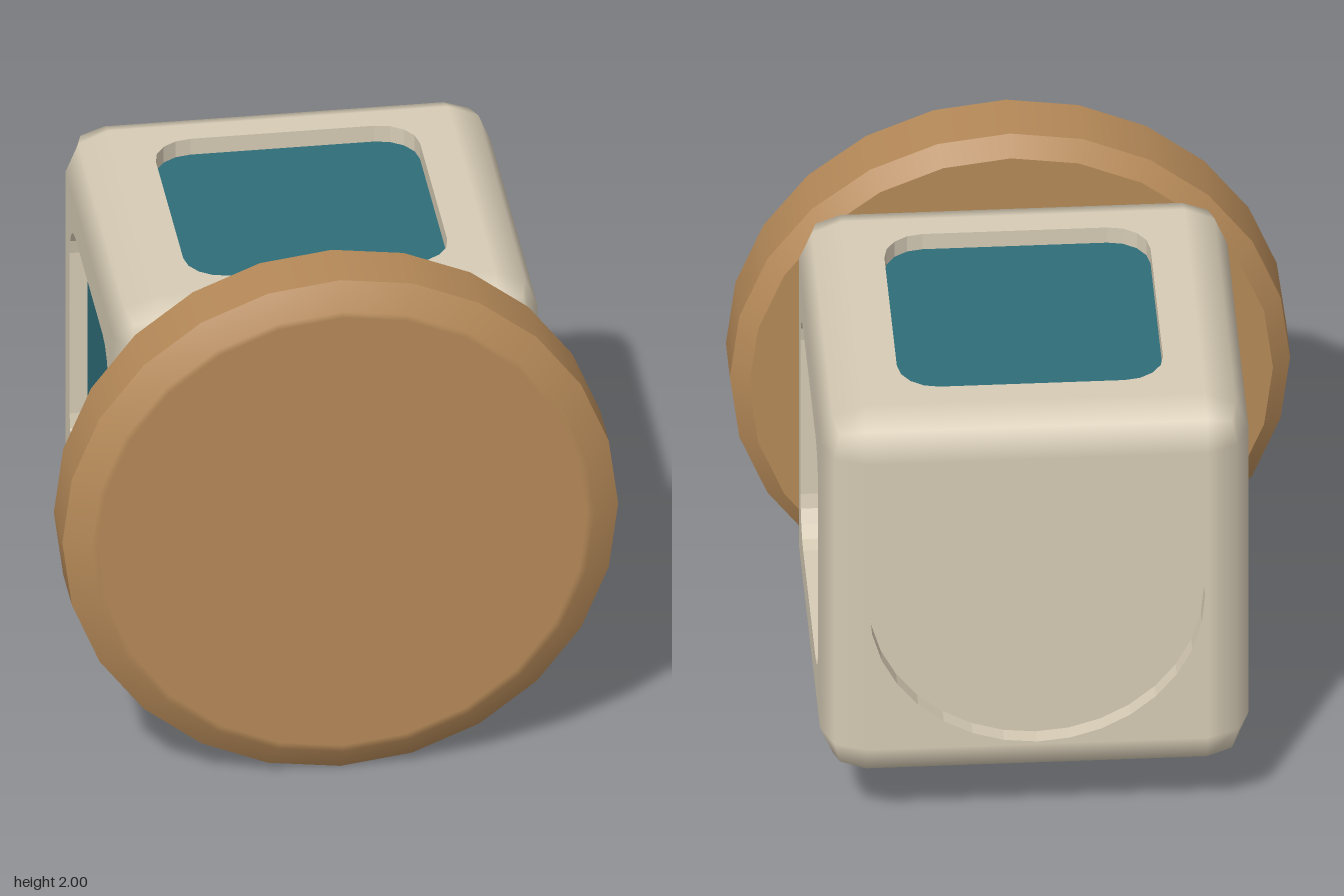
import * as THREE from 'three';
import { RoundedBoxGeometry } from 'three/addons/geometries/RoundedBoxGeometry.js';

const HX = 0.765, HY = 0.765, HZ = 0.744; // body half sizes
const R = 0.155; // body edge radius
const DEPTH = 0.065; // recess depth

const mat = (name, color) => Object.assign(new THREE.MeshStandardMaterial({ color }), { name });

function add(parent, name, geometry, material) {
  const mesh = new THREE.Mesh(geometry, material);
  mesh.name = name;
  parent.add(mesh);
  return mesh;
}

// Outline of a rounded window, or of a round one
function trace(path, hw, hh, r) {
  path.absarc(hw - r, hh - r, r, 0, Math.PI / 2);
  path.absarc(r - hw, hh - r, r, Math.PI / 2, Math.PI);
  path.absarc(r - hw, r - hh, r, Math.PI, Math.PI * 1.5);
  path.absarc(hw - r, r - hh, r, Math.PI * 1.5, Math.PI * 2);
  path.closePath();
  return path;
}
function outline(hw, hh, r, segments) {
  const points = trace(new THREE.Path(), hw, hh, r).getPoints(segments);
  return points.filter((p, i) => p.distanceTo(points[(i + 1) % points.length]) > 1e-4);
}

// Rounded edges and corners only; flat sides are replaced by recessed panels
function bodyShell() {
  const src = new RoundedBoxGeometry(HX * 2, HY * 2, HZ * 2, 1, R);
  const p = src.attributes.position, n = src.attributes.normal;
  const half = [HX, HY, HZ], pos = [], nor = [];
  for (let i = 0; i < p.count; i += 3) {
    const flat = half.some((h, axis) => [1, -1].some((s) =>
      !(axis === 2 && s === 1) &&
      [0, 1, 2].every((k) => Math.abs(p.getComponent(i + k, axis) - s * h) < 1e-4)));
    if (flat) continue;
    for (let k = i; k < i + 3; k++) {
      pos.push(p.getX(k), p.getY(k), p.getZ(k));
      nor.push(n.getX(k), n.getY(k), n.getZ(k));
    }
  }
  const g = new THREE.BufferGeometry();
  g.setAttribute('position', new THREE.Float32BufferAttribute(pos, 3));
  g.setAttribute('normal', new THREE.Float32BufferAttribute(nor, 3));
  return g;
}

// Flat side with a recess; local z points outward
function panel(name, w, h, hole, shellMat, floorMat) {
  const group = new THREE.Group();
  group.name = name;
  const shape = new THREE.Shape([[-w, -h], [w, -h], [w, h], [-w, h]].map(([x, y]) => new THREE.Vector2(x, y)));
  shape.holes.push(new THREE.Path(hole));
  const frame = new THREE.ExtrudeGeometry(shape, { depth: DEPTH, bevelEnabled: false });
  add(group, name + 'Frame', frame.translate(0, 0, -DEPTH), shellMat);
  const floor = new THREE.ShapeGeometry(new THREE.Shape(hole));
  add(group, name + 'Floor', floor.translate(0, 0, -DEPTH), floorMat);
  return group;
}

export function createModel() {
  const cream = mat('cream', 0xd6cbb5);
  const teal = mat('teal', 0x2f6d78);
  const wood = mat('wood', 0xb58958);

  const model = new THREE.Group();
  model.name = 'model';

  // Body
  const body = new THREE.Group();
  body.name = 'body';
  body.position.set(0, 1, -0.15);
  model.add(body);
  add(body, 'bodyEdges', bodyShell(), cream);

  // Four teal windows
  const fx = HX - R, fy = HY - R, fz = HZ - R;
  for (const s of [1, -1]) {
    const side = panel(s > 0 ? 'leftWindow' : 'rightWindow', fz, fy, outline(0.49, 0.475, 0.145, 2), cream, teal);
    side.rotation.y = s * Math.PI / 2;
    side.position.x = s * HX;
    const cap = panel(s > 0 ? 'topWindow' : 'bottomWindow', fx, fz, outline(0.475, 0.49, 0.145, 2), cream, teal);
    cap.rotation.x = -s * Math.PI / 2;
    cap.position.y = s * HY;
    body.add(side, cap);
  }

  // Round recess at the back
  const back = panel('backRecess', fx, fy, outline(0.6, 0.6, 0.6, 4), cream, cream);
  back.rotation.y = Math.PI;
  back.position.z = -HZ;
  body.add(back);

  // Front disc: separate profiles keep the rim edges sharp
  const disc = new THREE.Group();
  disc.name = 'frontDisc';
  disc.position.y = 1;
  model.add(disc);
  const profiles = {
    discBack: [[0, 0.55], [0.935, 0.55]],
    discBackChamfer: [[0.935, 0.55], [1, 0.612]],
    discRim: [[1, 0.612], [1, 0.83]],
    discFront: [[1, 0.83], [0.905, 0.893], [0.88, 0.893], [0, 0.893]],
  };
  for (const [name, pts] of Object.entries(profiles)) {
    const g = new THREE.LatheGeometry(pts.map(([x, y]) => new THREE.Vector2(x, y)), 24);
    add(disc, name, g.rotateX(Math.PI / 2), wood);
  }
  return model;
}
